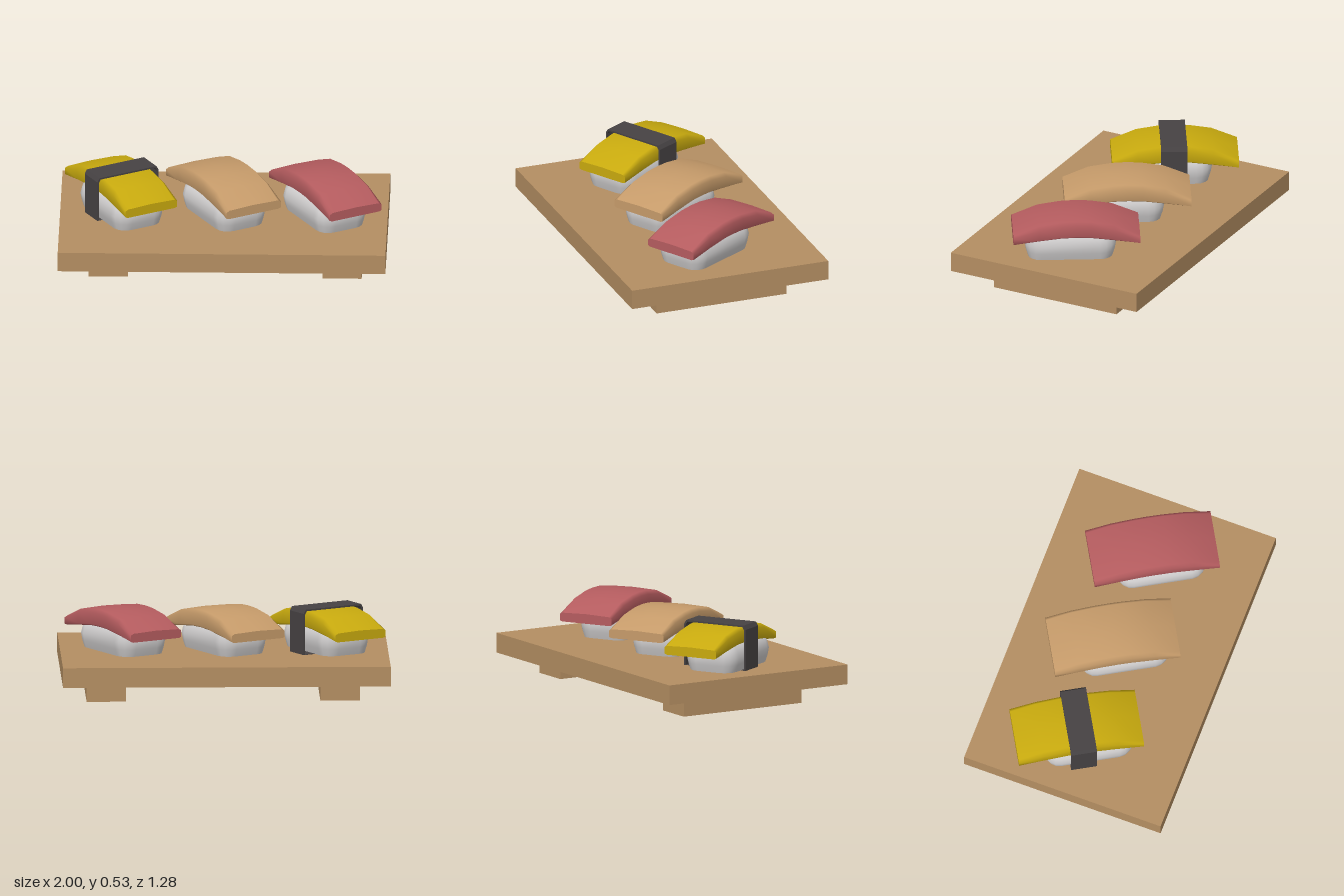
import * as THREE from 'three';

const material = (name, color) => {
  const m = new THREE.MeshStandardMaterial({ color });
  m.name = name;
  return m;
};

// Skin a closed surface over rings (counter-clockwise seen from the last ring's side)
function loft(rings) {
  const n = rings[0].length;
  const positions = rings.flat(2);
  const index = [];
  for (let r = 0; r < rings.length - 1; r++) {
    for (let i = 0; i < n; i++) {
      const a = r * n + i, b = r * n + (i + 1) % n;
      index.push(a, b, b + n, a, b + n, a + n);
    }
  }
  // Flat end caps with their own vertices, so their rims stay sharp
  [rings[0], rings[rings.length - 1]].forEach((ring, end) => {
    const start = positions.length / 3;
    positions.push(...ring.flat());
    for (let k = 0; k < 3; k++) positions.push(ring.reduce((s, p) => s + p[k], 0) / n);
    for (let i = 0; i < n; i++) {
      const a = start + i, b = start + (i + 1) % n;
      index.push(start + n, end ? a : b, end ? b : a);
    }
  });
  const g = new THREE.BufferGeometry();
  g.setAttribute('position', new THREE.Float32BufferAttribute(positions, 3));
  g.setIndex(index);
  g.computeVertexNormals();
  return g;
}

// Rice block: rounded rectangles stacked upward, [height, inset]
function riceGeometry() {
  const layers = [[0.245, 0.022], [0.29, 0.008], [0.335, 0], [0.38, 0.012], [0.41, 0.035], [0.43, 0.08]];
  const radius = 0.1, coreX = 0.075, coreZ = 0.18, steps = 5;
  return loft(layers.map(([y, inset]) => {
    const ring = [];
    for (let c = 0; c < 4; c++) {
      const sx = c === 0 || c === 3 ? 1 : -1, sz = c < 2 ? -1 : 1;
      for (let s = 0; s < steps; s++) {
        const a = (c + s / (steps - 1)) * Math.PI / 2;
        ring.push([sx * coreX + Math.cos(a) * (radius - inset), y, sz * coreZ - Math.sin(a) * (radius - inset)]);
      }
    }
    return ring;
  }));
}

// Draped slice: cross-sections along its length, [z, underside, top]
function toppingGeometry(w) {
  const half = [[0, 0.408, 0.518], [0.09, 0.405, 0.514], [0.23, 0.388, 0.492], [0.387, 0.367, 0.427]];
  const stations = [...half.slice(1).reverse().map(([z, b, t]) => [-z, b, t]), ...half];
  return loft(stations.map(([z, b, t]) => {
    const h = t - b;
    return [
      [-w + 0.015, b, z], [w - 0.015, b, z], [w, b + 0.1 * h, z], [w, b + 0.75 * h, z],
      [w - 0.02, t - 0.005, z], [0, t, z], [-w + 0.02, t - 0.005, z],
      [-w, b + 0.75 * h, z], [-w, b + 0.1 * h, z],
    ];
  }));
}

// Seaweed strap: an arch-shaped band standing on the board
function bandGeometry() {
  const outline = (w, top, c) => [
    [-w, 0.245], [w, 0.245], [w, top - c], [w - c * 0.6, top], [-w + c * 0.6, top], [-w, top - c],
  ].map(([x, y]) => new THREE.Vector2(x, y));
  const shape = new THREE.Shape(outline(0.213, 0.526, 0.025));
  shape.holes.push(new THREE.Path(outline(0.202, 0.516, 0.02).map((p) => new THREE.Vector2(p.x, Math.max(p.y, 0.247)))));
  return new THREE.ExtrudeGeometry(shape, { depth: 0.16, bevelEnabled: false }).translate(0, 0, -0.07);
}

export function createModel() {
  const model = new THREE.Group();
  model.name = 'sushiBoard';
  const wood = material('wood', 0xb48e62);
  const riceWhite = material('rice', 0xcfcdcd);
  const seaweed = material('seaweed', 0x464243);
  const egg = material('egg', 0xc8aa0e);
  const paleFish = material('paleFish', 0xc69b6a);
  const redFish = material('redFish', 0xb55c5f);

  const add = (parent, name, geometry, mat, x = 0, y = 0, z = 0) => {
    const mesh = new THREE.Mesh(geometry, mat);
    mesh.name = name;
    mesh.position.set(x, y, z);
    parent.add(mesh);
    return mesh;
  };

  // Serving board on two runners
  add(model, 'board', new THREE.BoxGeometry(2, 0.122, 1.28), wood, 0, 0.185, 0);
  add(model, 'rightFoot', new THREE.BoxGeometry(0.24, 0.125, 0.846), wood, -0.697, 0.0625, 0);
  add(model, 'leftFoot', new THREE.BoxGeometry(0.24, 0.125, 0.846), wood, 0.73, 0.0625, 0);

  // Three pieces set diagonally
  const rice = riceGeometry();
  const pieces = [
    { name: 'eggPiece', x: -0.63, z: -0.045, w: 0.179, mat: egg, riceZ: 0.054 },
    { name: 'paleFishPiece', x: -0.005, z: -0.045, w: 0.188, mat: paleFish, riceZ: 0.054 },
    { name: 'redFishPiece', x: 0.618, z: -0.02, w: 0.179, mat: redFish, riceZ: 0.035 },
  ];
  for (const p of pieces) {
    const piece = new THREE.Group();
    piece.name = p.name;
    piece.position.set(p.x, 0, p.z);
    piece.rotation.y = Math.PI / 6;
    add(piece, 'rice', rice, riceWhite, -0.024, 0, p.riceZ);
    add(piece, 'topping', toppingGeometry(p.w), p.mat);
    if (p.mat === egg) add(piece, 'seaweedBand', bandGeometry(), seaweed);
    model.add(piece);
  }
  return model;
}
